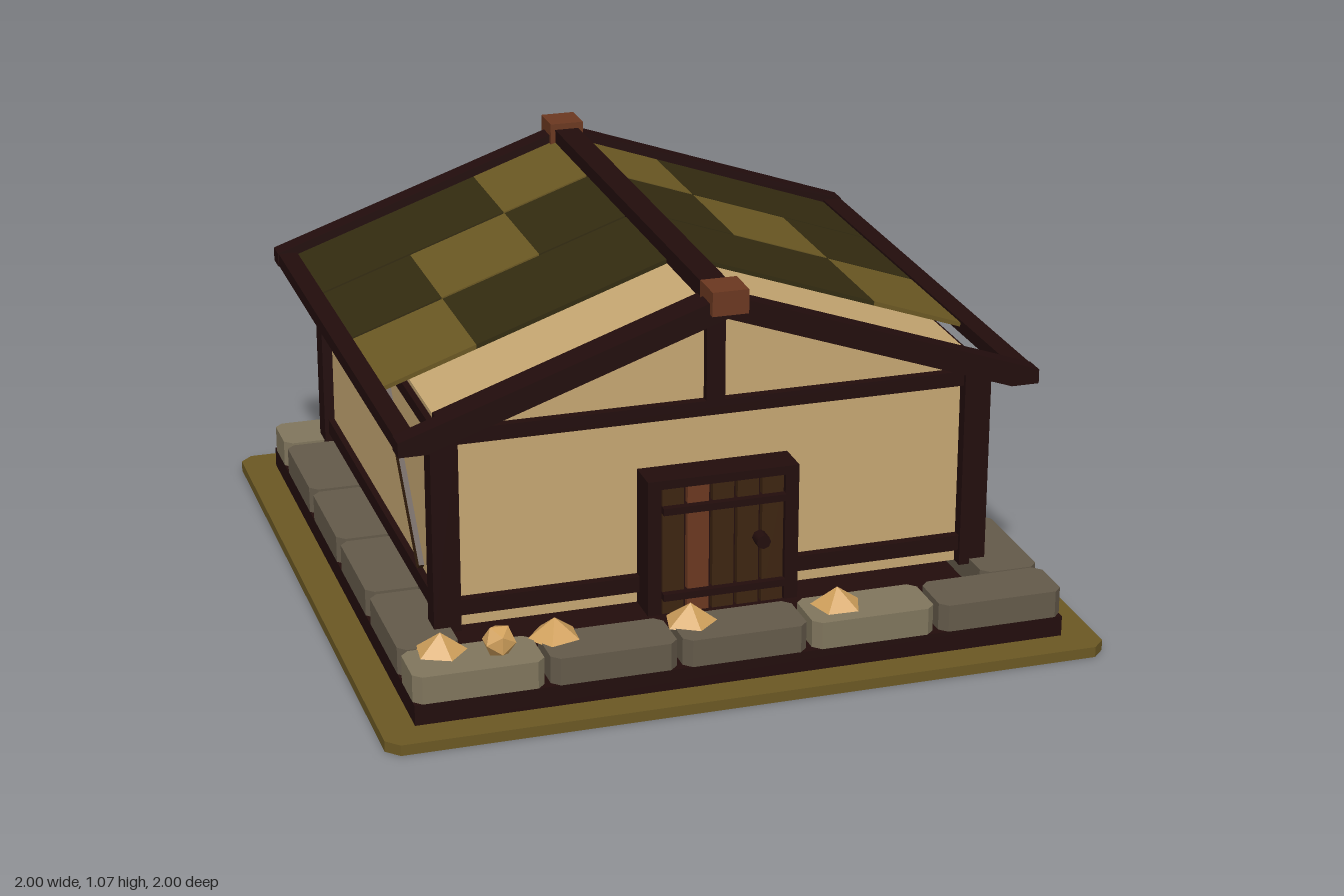
import * as THREE from 'three';

const paint = (name, color) => {
  const m = new THREE.MeshStandardMaterial({ color });
  m.name = name;
  return m;
};

const SLOPE = 0.35; // roof fall per unit of x

export function createModel() {
  const M = {
    moss: paint('moss', 0x6b5823),
    darkMoss: paint('dark moss', 0x332b10),
    timber: paint('dark timber', 0x220d0c),
    plaster: paint('plaster', 0xc6a772),
    lightStone: paint('light stone', 0x80765d),
    darkStone: paint('dark stone', 0x645a4a),
    redWood: paint('red wood', 0x6b3820),
    brownWood: paint('brown wood', 0x3d2410),
    amber: paint('amber', 0xd0a05c),
  };
  const model = new THREE.Group();
  model.name = 'cottage';

  const add = (name, geo, mat, parent = model) => {
    const mesh = new THREE.Mesh(geo, mat);
    mesh.name = name;
    parent.add(mesh);
    return mesh;
  };
  // Box given by its limits on each axis
  const box = (name, mat, [x0, x1], [y0, y1], [z0, z1], parent) => {
    const mesh = add(name, new THREE.BoxGeometry(x1 - x0, y1 - y0, z1 - z0), mat, parent);
    mesh.position.set((x0 + x1) / 2, (y0 + y1) / 2, (z0 + z1) / 2);
    return mesh;
  };
  // Outline in x and y, swept from z0 to z1
  const sweep = (name, mat, pts, z0, z1) => {
    const shape = new THREE.Shape(pts.map(([x, y]) => new THREE.Vector2(x, y)));
    const geo = new THREE.ExtrudeGeometry(shape, { depth: z1 - z0, bevelEnabled: false });
    return add(name, geo.translate(0, 0, z0), mat);
  };
  // Block with cut corners in plan
  const block = (name, mat, [x0, x1], [y0, y1], [z0, z1], c) => {
    const w = (x1 - x0) / 2, d = (z1 - z0) / 2;
    const pts = [[w, c - d], [w, d - c], [w - c, d], [c - w, d], [-w, d - c], [-w, c - d], [c - w, -d], [w - c, -d]];
    const mesh = sweep(name, mat, pts, 0, y1 - y0);
    mesh.rotation.x = -Math.PI / 2;
    mesh.position.set((x0 + x1) / 2, y0, (z0 + z1) / 2);
    return mesh;
  };
  // Slab lying along one roof slope
  const slopeSlab = (name, mat, s, x0, x1, top, thick, z0, z1) =>
    sweep(name, mat, [
      [s * x0, top - SLOPE * x0], [s * x1, top - SLOPE * x1],
      [s * x1, top - SLOPE * x1 - thick], [s * x0, top - SLOPE * x0 - thick],
    ], z0, z1);

  // Ground and footing
  block('ground', M.moss, [-1, 1], [0, 0.03], [-1, 1], 0.035);
  box('footing', M.timber, [-0.905, 0.905], [0.03, 0.088], [-0.905, 0.905]);

  // Ring of foundation stones
  const stoneY = [0.088, 0.165], gap = 0.008;
  for (let i = 0; i < 5; i++) {
    const x = -0.905 + i * 0.362;
    const mat = i === 0 || i === 3 ? M.lightStone : M.darkStone;
    const xs = [x + (i ? gap : 0), x + 0.362 - (i < 4 ? gap : 0)];
    block('frontStone', mat, xs, stoneY, [0.742, 0.905], 0.022);
    block('backStone', mat, xs, stoneY, [-0.905, -0.74], 0.022);
  }
  for (const s of [-1, 1]) {
    for (let i = 0; i < 4; i++) {
      const z = -0.732 + i * 0.367;
      const xs = s > 0 ? [0.74, 0.905] : [-0.905, -0.74];
      block('sideStone', M.darkStone, xs, stoneY, [z + gap, z + 0.367 - gap * (i < 3)], 0.022);
    }
  }

  // Plastered body with gables
  sweep('walls', M.plaster, [[-0.755, 0.15], [0.755, 0.15], [0.755, 0.744], [0, 1.008], [-0.755, 0.744]], -0.765, 0.6);

  // Timber frame: posts, sills, ties, king posts
  for (const [z0, z1] of [[0.57, 0.637], [-0.8, -0.725]]) {
    for (const x of [-0.785, 0.71]) box('cornerPost', M.timber, [x, x + 0.075], [0.15, 0.715], [z0, z1]);
    const inner = z0 > 0 ? [z0, z1 - 0.012] : [z0 + 0.012, z1];
    box('sillBeam', M.timber, [-0.72, 0.72], [0.19, 0.235], inner);
    box('tieBeam', M.timber, [-0.785, 0.785], [0.68, 0.722], inner);
    box('kingPost', M.timber, [-0.026, 0.026], [0.71, 0.98], inner);
    for (const s of [-1, 1])
      slopeSlab('gableRafter', M.timber, s, 0, 0.76, z0 > 0 ? 1.022 : 1.011, 0.055, ...inner);
  }
  for (const s of [-1, 1]) {
    const side = add('sideSill', new THREE.BoxGeometry(0.03, 0.045, 1.3), M.timber);
    side.position.set(s * 0.758, 0.2125, -0.08);
    const plate = add('wallPlate', new THREE.BoxGeometry(0.03, 0.035, 1.3), M.timber);
    plate.position.set(s * 0.758, 0.714, -0.08);
    const brace = add('diagonalBrace', new THREE.BoxGeometry(0.03, 0.57, 0.035), M.brownWood);
    brace.position.set(s * 0.755, 0.45, 0.208);
    brace.rotation.x = -Math.atan2(0.384, 0.42);
  }

  // Roof: rafters, eaves, ridge and mossy tiles
  for (const s of [-1, 1]) {
    const outline = [[0, 1.05], [s * 0.888, 0.742], [s * 0.888, 0.702], [s * 0.81, 0.702], [0, 0.985]];
    sweep('frontRafter', M.timber, outline, 0.66, 0.72);
    sweep('backRafter', M.timber, outline, -0.88, -0.82);
    const eave = add('eaveBeam', new THREE.BoxGeometry(0.055, 0.038, 1.56), M.timber);
    eave.position.set(s * 0.858, 0.722, -0.08);

    const rows = [[-0.075, 0.3, 2], [-0.46, -0.085, 1], [-0.822, -0.47, 0]];
    const cuts = [0, 0.287, 0.57, 0.835];
    for (const [z0, z1, pale] of rows)
      for (let i = 0; i < 3; i++)
        slopeSlab('roofTile', i === pale ? M.moss : M.darkMoss, s, cuts[i], cuts[i + 1], 1.025, 0.013, z0, z1);
  }
  box('ridgeBeam', M.timber, [-0.036, 0.036], [1.003, 1.052], [-0.88, 0.72]);
  box('frontRidgeCap', M.redWood, [-0.05, 0.05], [1.003, 1.07], [0.637, 0.742]);
  box('backRidgeCap', M.redWood, [-0.05, 0.05], [1.003, 1.07], [-0.908, -0.803]);

  // Front door
  const door = new THREE.Group();
  door.name = 'door';
  model.add(door);
  for (const x of [-0.212, 0.174]) box('doorJamb', M.timber, [x, x + 0.038], [0.15, 0.54], [0.6, 0.7], door);
  box('doorLintel', M.timber, [-0.212, 0.212], [0.515, 0.54], [0.6, 0.7], door);
  box('doorBacking', M.timber, [-0.175, 0.175], [0.15, 0.52], [0.6, 0.675], door);
  for (let i = 0; i < 5; i++) {
    const x = -0.174 + i * 0.07;
    box('doorPlank', i === 1 ? M.redWood : M.brownWood, [x + 0.004, x + 0.064], [0.15, 0.515], [0.66, 0.695], door);
  }
  for (const y of [0.455, 0.205]) box('doorStrap', M.timber, [-0.172, 0.172], [y - 0.01, y + 0.01], [0.68, 0.715], door);
  const knob = add('doorHandle', new THREE.CylinderGeometry(0.02, 0.02, 0.045, 8), M.timber, door);
  knob.rotation.x = Math.PI / 2;
  knob.position.set(0.102, 0.342, 0.713);

  // Two barred windows on one side
  for (const z of [0.272, -0.246]) {
    const win = new THREE.Group();
    win.name = 'window';
    win.position.set(0.76, 0.515, z);
    win.rotation.y = Math.PI / 2;
    model.add(win);
    box('windowFrame', M.timber, [-0.145, 0.145], [-0.105, 0.105], [0, 0.05], win);
    box('windowPane', M.amber, [-0.1, 0.1], [-0.082, 0.082], [0.04, 0.072], win);
    for (const s of [-1, 1]) {
      const bar = add('windowBar', new THREE.BoxGeometry(0.235, 0.018, 0.02), M.timber, win);
      bar.position.z = 0.07;
      bar.rotation.z = s * Math.atan2(0.145, 0.19);
    }
  }

  // Loose rubble on the front stones
  const heaps = [[-0.8, 0.765, 0.2], [-0.49, 0.765, 0.9], [-0.12, 0.785, 0.1], [0.287, 0.805, 0.6]];
  for (const [x, z, turn] of heaps) {
    const heap = add('rubbleHeap', new THREE.ConeGeometry(0.075, 0.055, 5).toNonIndexed(), M.amber);
    heap.geometry.computeVertexNormals();
    heap.position.set(x, 0.19, z);
    heap.rotation.y = turn;
  }
  const pebble = add('pebble', new THREE.IcosahedronGeometry(0.047, 0), M.amber);
  pebble.position.set(-0.66, 0.208, 0.838);

  return model;
}
